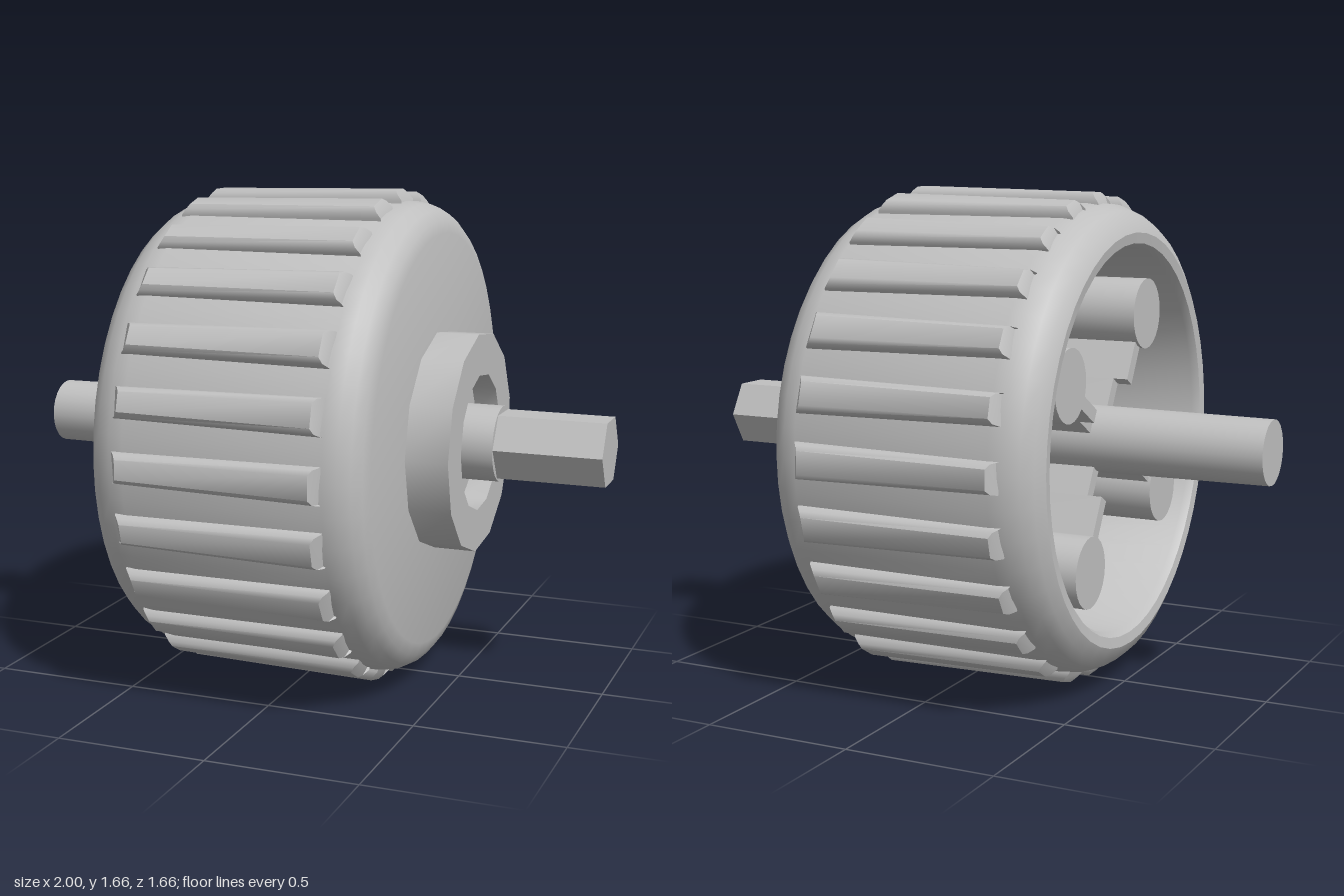
import * as THREE from 'three';
import { toCreasedNormals } from 'three/addons/utils/BufferGeometryUtils.js';

export function createModel() {
  const grey = new THREE.MeshStandardMaterial({ color: 0xc0c0c0 });
  grey.name = 'plain grey';
  const root = new THREE.Group();
  root.name = 'wheelOnShaft';
  const wheel = new THREE.Group();
  wheel.name = 'wheel';
  wheel.position.y = 0.83;
  root.add(wheel);

  const add = (name, geometry, parent = wheel) => {
    const mesh = new THREE.Mesh(geometry, grey);
    mesh.name = name;
    parent.add(mesh);
    return mesh;
  };
  // Turned part: profile of [radius, x], revolved about the x axis
  const turn = (name, profile, sides) => {
    const g = new THREE.LatheGeometry(profile.map(([r, x]) => new THREE.Vector2(r, x)), sides);
    g.rotateZ(-Math.PI / 2);
    return add(name, toCreasedNormals(g, 0.6));
  };
  // Solid rod along x from x0 to x1
  const rod = (name, r0, r1, x0, x1, sides, parent = wheel) => {
    const g = new THREE.CylinderGeometry(r1, r0, x1 - x0, sides);
    g.rotateZ(-Math.PI / 2);
    const mesh = add(name, toCreasedNormals(g, 0.6), parent);
    mesh.position.x = (x0 + x1) / 2;
    return mesh;
  };

  // Hollow drum, open on the -x side
  turn('drum', [
    [0, 0.3], [0.64, 0.3], [0.64, -0.49], [0.655, -0.515], [0.69, -0.52], [0.73, -0.5],
    [0.76, -0.465], [0.78, -0.42], [0.787, -0.37], [0.792, 0.3], [0.783, 0.345], [0.762, 0.382],
    [0.73, 0.408], [0.69, 0.42], [0, 0.42],
  ], 48);

  // Grip ribs around the drum
  const section = new THREE.Shape([
    [-0.06, -0.04], [0.06, -0.04], [0.059, 0.005], [0.054, 0.025], [0.038, 0.038],
    [-0.038, 0.038], [-0.054, 0.025], [-0.059, 0.005],
  ].map(([x, y]) => new THREE.Vector2(x, y)));
  const ribGeometry = new THREE.ExtrudeGeometry(section, { depth: 0.71, bevelEnabled: false });
  ribGeometry.rotateY(Math.PI / 2).translate(-0.41, 0, 0);
  const p = ribGeometry.attributes.position;
  for (let i = 0; i < p.count; i++) {
    const y = p.getY(i);
    const atOpenEnd = p.getX(i) < 0;
    // slope both ends, narrow and lower the rib slightly toward the open side
    p.setX(i, p.getX(i) + Math.max(0, y) * (atOpenEnd ? 0.8 : -0.8));
    p.setY(i, y + 0.792 - (atOpenEnd ? 0.012 : 0));
    if (atOpenEnd) p.setZ(i, p.getZ(i) * 0.85);
  }
  const rib = toCreasedNormals(ribGeometry, 0.75);
  for (let i = 0; i < 24; i++) add('gripRib', rib).rotation.x = (i * Math.PI) / 12;

  // Recessed hub ring on the closed side
  turn('hubRing', [[0.37, 0.4], [0.37, 0.563], [0.23, 0.563], [0.23, 0.48], [0, 0.48]], 13);

  // Drive end: round collar and hexagonal tip
  rod('collar', 0.127, 0.127, 0.4, 0.638, 24);
  rod('hexTip', 0.122, 0.122, 0.63, 1, 6);

  // Long shaft running through the drum
  rod('shaft', 0.108, 0.118, -1, 0.4, 24);

  // Inner cross: four arms from the shaft, each carrying a round post
  for (let i = 0; i < 4; i++) {
    const arm = new THREE.Group();
    arm.name = 'crossArm';
    arm.rotation.x = Math.PI / 6 + (i * Math.PI) / 2;
    wheel.add(arm);
    rod('innerPost', 0.12, 0.12, -0.47, 0.31, 24, arm).position.y = 0.465;
    // arm plate, stepped down close to the shaft
    add('armPlate', new THREE.BoxGeometry(0.77, 0.18, 0.045), arm).position.set(-0.075, 0.3, 0);
    add('armRoot', new THREE.BoxGeometry(0.72, 0.22, 0.045), arm).position.set(-0.05, 0.1, 0);
  }
  return root;
}
